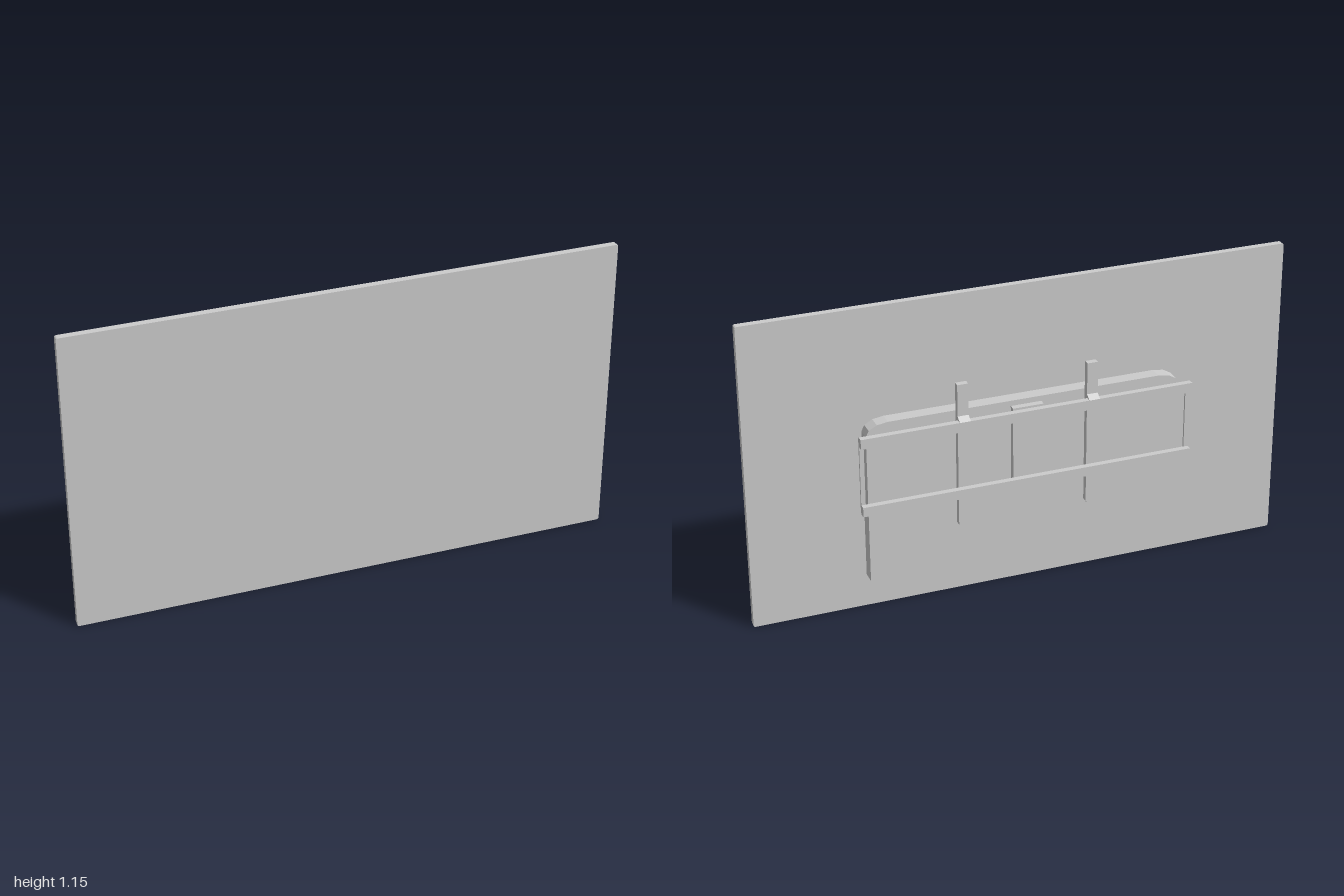
import * as THREE from 'three';

const material = new THREE.MeshStandardMaterial({ color: 0xcccccc, flatShading: true });

// Outline centred on (cx, cy) with elliptical corners; corner order is anticlockwise
function roundedOutline(cx, cy, w, h, rx, ry, segments) {
  const points = [];
  const signs = [[1, 1], [-1, 1], [-1, -1], [1, -1]];
  signs.forEach(([sx, sy], corner) => {
    for (let i = 0; i <= segments; i++) {
      const a = (corner + i / segments) * Math.PI / 2;
      points.push(new THREE.Vector2(
        cx + sx * (w / 2 - rx) + Math.cos(a) * rx,
        cy + sy * (h / 2 - ry) + Math.sin(a) * ry));
    }
  });
  return points;
}

export function createModel() {
  const model = new THREE.Group();
  model.name = 'wallScreen';

  const add = (name, geometry) => {
    const mesh = new THREE.Mesh(geometry, material);
    mesh.name = name;
    model.add(mesh);
    return mesh;
  };
  const box = (name, x0, x1, y0, y1, z0, z1) => {
    const mesh = add(name, new THREE.BoxGeometry(x1 - x0, y1 - y0, z1 - z0));
    mesh.position.set((x0 + x1) / 2, (y0 + y1) / 2, (z0 + z1) / 2);
  };
  const plate = (name, points, z0, z1) => {
    const mesh = add(name, new THREE.ExtrudeGeometry(new THREE.Shape(points),
      { depth: z1 - z0, bevelEnabled: false }));
    mesh.position.z = z0;
  };

  // Screen slab and the raised housing on its back
  plate('screenPanel', roundedOutline(0, 0.573, 2, 1.146, 0.008, 0.006, 3), 0.035, 0.06);
  plate('rearHousing', roundedOutline(0, 0.4075, 1.166, 0.655, 0.08, 0.045, 3), -0.015, 0.035);

  // Central spacer behind the rails
  box('centrePlate', -0.057, 0.057, 0.4, 0.715, -0.038, -0.015);

  // Two horizontal wall rails
  box('upperRail', -0.615, 0.615, 0.67, 0.707, -0.06, -0.038);
  box('lowerRail', -0.615, 0.615, 0.41, 0.446, -0.06, -0.038);

  for (const side of [-1, 1]) {
    const x = side * 0.24;

    // Upright bracket arm with clipped lower corners
    const arm = [[-0.02, 0.84], [-0.02, 0.297], [-0.012, 0.285],
      [0.012, 0.285], [0.02, 0.297], [0.02, 0.84]]
      .map(([px, py]) => new THREE.Vector2(x + px, py));
    plate('bracketArm', arm, -0.037, -0.015);

    // Sloped hook over the upper rail, its profile drawn in the depth plane
    const hook = new THREE.Shape([[0.037, 0.707], [0.06, 0.707], [0.037, 0.721]]
      .map(([px, py]) => new THREE.Vector2(px, py)));
    const wedge = add('bracketHook',
      new THREE.ExtrudeGeometry(hook, { depth: 0.04, bevelEnabled: false }));
    wedge.rotation.y = Math.PI / 2;
    wedge.position.x = x - 0.02;

    // Thin strap joining the rail ends, with clipped front corners
    const strap = new THREE.Shape([[0.031, 0.418], [0.039, 0.41], [0.039, 0.707], [0.031, 0.699]]
      .map(([px, py]) => new THREE.Vector2(px, py)));
    const link = add('endStrap',
      new THREE.ExtrudeGeometry(strap, { depth: 0.016, bevelEnabled: false }));
    link.rotation.y = Math.PI / 2;
    link.position.x = side * 0.607 - 0.008;
  }
  return model;
}
